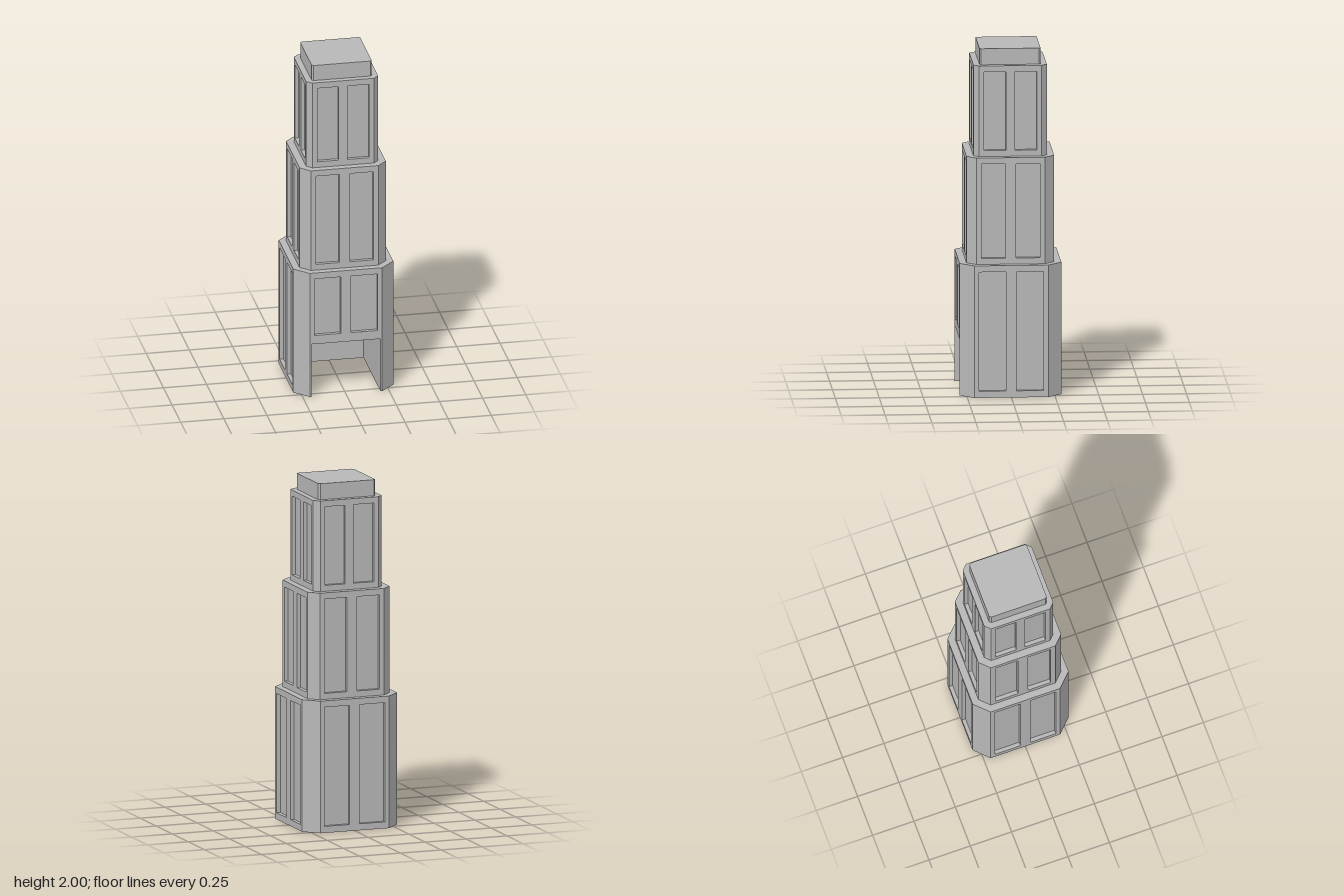
import * as THREE from 'three';

const RECESS = 0.022; // depth of the sunken panels
const DOOR = { half: 0.2, height: 0.325, back: 0.2 };

// half: half width, flat: half width of a side between its chamfers
const TIERS = [
  { name: 'lowerTier', half: 0.29, flat: 0.21, y0: 0, y1: 0.765, panelX: [0.03, 0.184], panelY: [0.038, 0.728], door: true },
  { name: 'middleTier', half: 0.25, flat: 0.195, y0: 0.765, y1: 1.382, panelX: [0.03, 0.167], panelY: [0.8, 1.346] },
  { name: 'upperTier', half: 0.209, flat: 0.178, y0: 1.382, y1: 1.907, panelX: [0.026, 0.15], panelY: [1.417, 1.872] },
];

const toShape = (pts) => new THREE.Shape(pts.map(([x, y]) => new THREE.Vector2(x, y)));

// Chamfered square plan; the sides are set back by inset between the corners
function planPoints(half, flat, inset, doorway) {
  const pts = [];
  const corner = [[half, flat], [flat, half]];
  if (inset > 0) {
    corner.unshift([half - inset, flat]);
    corner.push([flat, half - inset]);
  }
  for (let k = 0; k < 4; k++) {
    for (let [x, y] of corner) {
      for (let i = 0; i < k; i++) [x, y] = [-y, x];
      pts.push([x, y]);
    }
    if (k === 2 && doorway) {
      const front = -(half - inset);
      pts.push([-DOOR.half, front], [-DOOR.half, DOOR.back], [DOOR.half, DOOR.back], [DOOR.half, front]);
    }
  }
  return pts;
}

// Upright prism from a plan
function prism(pts, y0, y1) {
  const geo = new THREE.ExtrudeGeometry(toShape(pts), { depth: y1 - y0, bevelEnabled: false });
  return geo.rotateX(-Math.PI / 2).translate(0, y0, 0);
}

// Wall face with two panel openings, and a doorway notch if wanted
function wallFace(t, doorway) {
  const f = t.flat, [px0, px1] = t.panelX;
  const outline = [[-f, t.y0]];
  if (doorway) {
    const { half: d, height: h } = DOOR;
    outline.push([-d, t.y0], [-d, h], [d, h], [d, t.y0]);
  }
  outline.push([f, t.y0], [f, t.y1], [-f, t.y1]);
  const shape = toShape(outline);
  const bottom = doorway ? 0.378 : t.panelY[0], top = t.panelY[1];
  for (const [a, b] of [[-px1, -px0], [px0, px1]]) {
    shape.holes.push(new THREE.Path([[a, bottom], [a, top], [b, top], [b, bottom]].map(([x, y]) => new THREE.Vector2(x, y))));
  }
  const geo = new THREE.ExtrudeGeometry(shape, { depth: RECESS, bevelEnabled: false });
  return geo.translate(0, 0, t.half - RECESS);
}

export function createModel() {
  const model = new THREE.Group();
  model.name = 'steppedTower';
  const stone = new THREE.MeshStandardMaterial({ color: 0xb8b8b8 });
  stone.name = 'grey stone';

  const add = (parent, name, geo) => {
    const mesh = new THREE.Mesh(geo, stone);
    mesh.name = name;
    parent.add(mesh);
    return mesh;
  };

  for (const t of TIERS) {
    const tier = new THREE.Group();
    tier.name = t.name;
    model.add(tier);

    // Core with chamfered corners; the lowest one holds the open room
    const coreStart = t.door ? DOOR.height : t.y0;
    add(tier, 'core', prism(planPoints(t.half, t.flat, RECESS), coreStart, t.y1));
    if (t.door) add(tier, 'roomWalls', prism(planPoints(t.half, t.flat, RECESS, true), t.y0, DOOR.height));

    // Panelled faces on all four sides
    ['frontWall', 'leftWall', 'backWall', 'rightWall'].forEach((name, k) => {
      add(tier, name, wallFace(t, t.door && k === 0)).rotation.y = (k * Math.PI) / 2;
    });
  }

  // Plain block on the top
  add(model, 'roofCap', prism(planPoints(0.174, 0.164, 0), 1.907, 2));
  return model;
}
